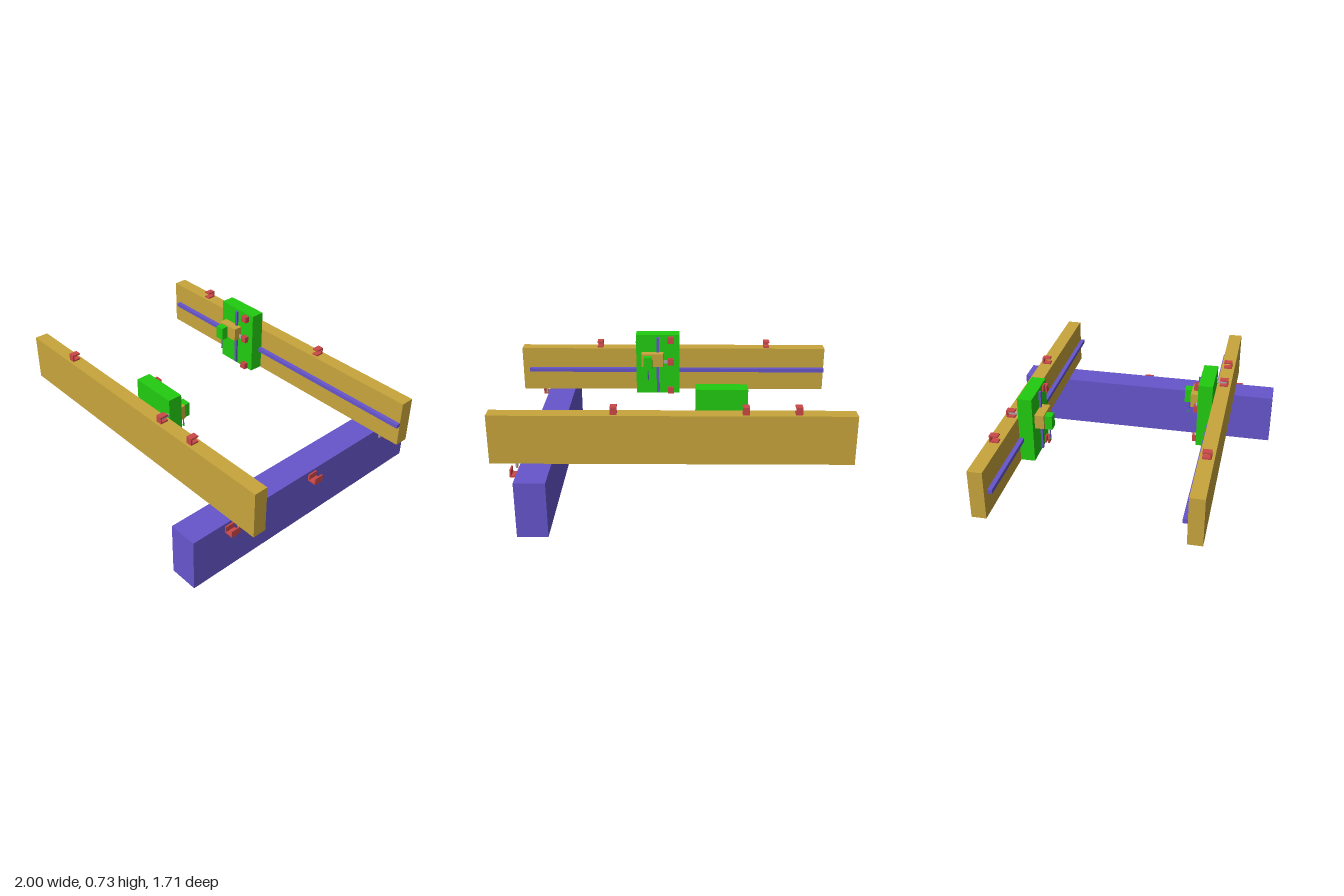
import * as THREE from 'three';

const material = (name, color) => {
  const m = new THREE.MeshStandardMaterial({ color });
  m.name = name;
  return m;
};

export function createModel() {
  const gold = material('gold', 0xc8a53c);
  const purple = material('purple', 0x6655cc);
  const green = material('green', 0x22cc11);
  const red = material('red', 0xcc4848);
  const grey = material('grey', 0xaaaaaa);

  // Box given by its extents along each axis
  const box = (parent, name, mat, [x0, x1], [y0, y1], [z0, z1]) => {
    const mesh = new THREE.Mesh(new THREE.BoxGeometry(x1 - x0, y1 - y0, z1 - z0), mat);
    mesh.position.set((x0 + x1) / 2, (y0 + y1) / 2, (z0 + z1) / 2);
    mesh.name = name;
    parent.add(mesh);
    return mesh;
  };

  // U-shaped end-stop: opens towards +y, slot runs along z, centred on the origin
  const sensor = (parent, name, width, height, length) => {
    const w = width / 2, h = height / 2, t = 0.009;
    const s = new THREE.Shape([
      [-w, -h], [w, -h], [w, h], [w - t, h], [w - t, t - h], [t - w, t - h], [t - w, h], [-w, h],
    ].map(([x, y]) => new THREE.Vector2(x, y)));
    const g = new THREE.ExtrudeGeometry(s, { depth: length, bevelEnabled: false });
    g.translate(0, 0, -length / 2);
    const mesh = new THREE.Mesh(g, red);
    mesh.name = name;
    parent.add(mesh);
    return mesh;
  };

  // One gantry arm with its sliding plate, lifting carriage and tool
  const arm = (name, plateX, stops) => {
    const g = new THREE.Group();
    g.name = name;
    box(g, 'crossBeam', gold, [-1, 1], [0.325, 0.61], [-0.603, -0.52]);
    box(g, 'horizontalRail', purple, [-0.955, 1], [0.454, 0.478], [-0.52, -0.494]);
    for (const x of stops) {
      const s = sensor(g, 'beamSensor', 0.042, 0.05, 0.037);
      // slot opens inwards (+z) and runs along x
      s.rotation.set(Math.PI / 2, Math.PI / 2, 0, 'YXZ');
      s.rotation.setFromRotationMatrix(new THREE.Matrix4().makeBasis(
        new THREE.Vector3(0, 1, 0), new THREE.Vector3(0, 0, 1), new THREE.Vector3(1, 0, 0)));
      s.position.set(x, 0.631, -0.562);
    }

    const p = new THREE.Group();
    p.name = 'slidingUnit';
    p.position.x = plateX;
    g.add(p);
    box(p, 'slidingPlate', green, [-0.141, 0.141], [0.33, 0.73], [-0.52, -0.435]);
    box(p, 'plateFlag', grey, [-0.141, -0.12], [0.628, 0.638], [-0.577, -0.52]);
    box(p, 'verticalRail', purple, [-0.008, 0.008], [0.34, 0.715], [-0.435, -0.422]);
    for (const y of [0.353, 0.552, 0.698]) {
      const s = sensor(p, 'plateSensor', 0.028, 0.04, 0.04);
      // slot opens sideways (-x) and runs along y
      s.rotation.setFromRotationMatrix(new THREE.Matrix4().makeBasis(
        new THREE.Vector3(0, 0, 1), new THREE.Vector3(-1, 0, 0), new THREE.Vector3(0, -1, 0)));
      s.position.set(0.085, y, -0.421);
    }
    box(p, 'carriage', gold, [-0.105, 0.036], [0.53, 0.614], [-0.435, -0.38]);
    box(p, 'carriageFlag', grey, [0.036, 0.09], [0.54, 0.564], [-0.424, -0.417]);
    box(p, 'toolHolder', green, [-0.09, -0.035], [0.522, 0.606], [-0.38, -0.336]);
    const needle = new THREE.Mesh(new THREE.CylinderGeometry(0.004, 0.004, 0.075, 12), purple);
    needle.position.set(-0.062, 0.486, -0.359);
    needle.name = 'needle';
    const tip = new THREE.Mesh(new THREE.CylinderGeometry(0.006, 0.006, 0.006, 12), green);
    tip.position.set(-0.062, 0.447, -0.359);
    tip.name = 'needleTip';
    p.add(needle, tip);
    return g;
  };

  const model = new THREE.Group();
  model.name = 'gantry';

  // Base beam with its end-stops and the flags hanging from the arms
  box(model, 'baseBeam', purple, [0.66, 0.83], [0, 0.322], [-0.857, 0.857]);
  for (const z of [0.613, -0.014, -0.641]) {
    sensor(model, 'baseSensor', 0.054, 0.042, 0.06).position.set(0.857, 0.284, z);
  }
  for (const z of [0.562, -0.584]) {
    box(model, 'armFlag', grey, [0.852, 0.862], [0.284, 0.326], [z - 0.016, z + 0.016]);
  }

  // Two arms facing each other
  const back = arm('backArm', -0.27, [-0.685, -0.4, 0.315]);
  back.position.z = -0.025;
  const front = arm('frontArm', -0.1, [-0.483, -0.23, 0.617]);
  front.rotation.y = Math.PI;
  model.add(back, front);
  return model;
}
